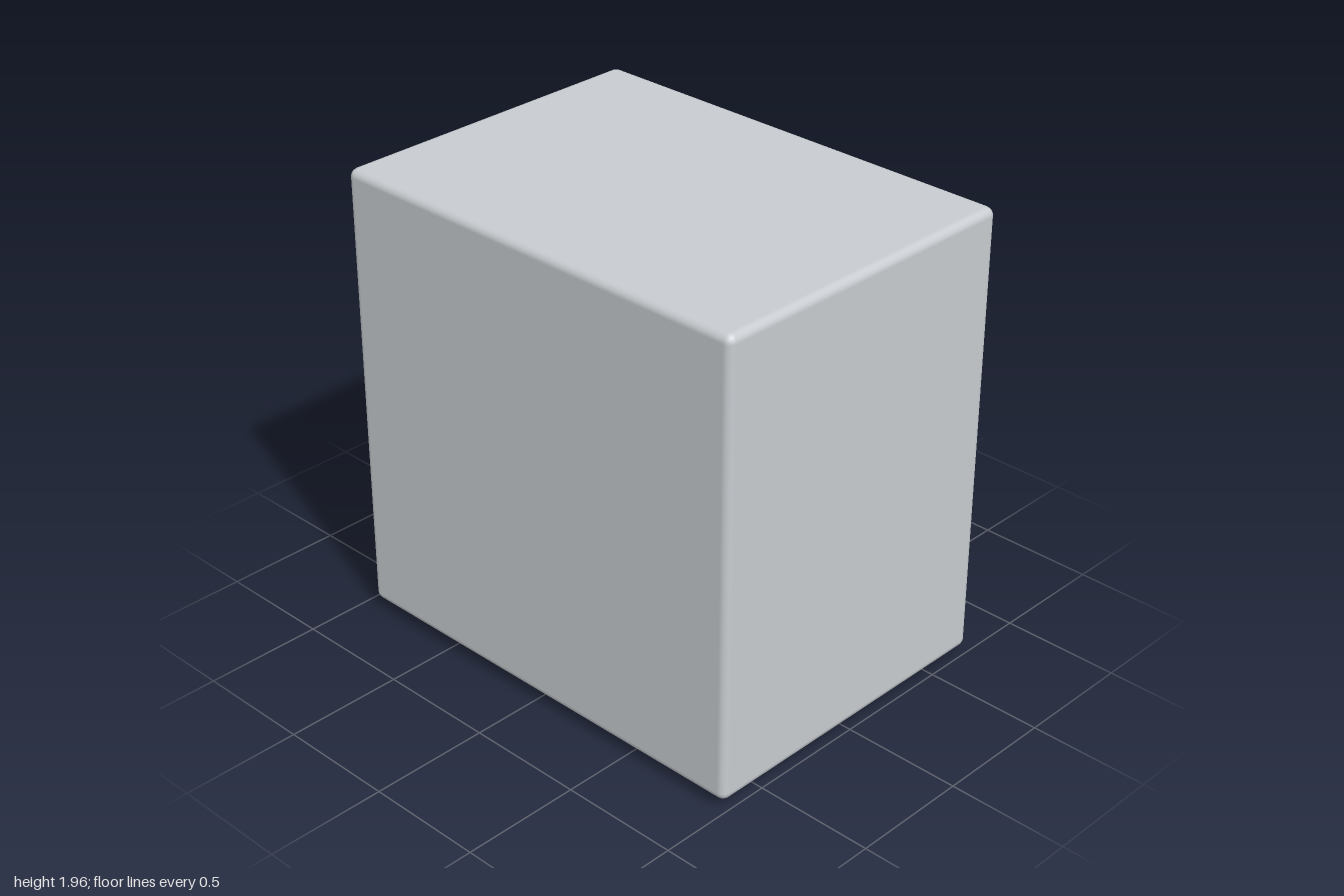
import * as THREE from 'three';
import { RoundedBoxGeometry } from 'three/addons/geometries/RoundedBoxGeometry.js';

const material = (color) => new THREE.MeshStandardMaterial({ color });
const mats = {
  shell: material(0xc8ccd0),
  panel: material(0x1b3a54),
  dark: material(0x14171c),
  screen: material(0x10282c),
  label: material(0x777777),
  led: material(0x23303a),
  rubber: material(0x2a2f36),
};

export function createModel() {
  const group = new THREE.Group();

  const add = (name, geometry, mat, x, y, z) => {
    const mesh = new THREE.Mesh(geometry, mat);
    mesh.name = name;
    mesh.position.set(x, y, z);
    group.add(mesh);
    return mesh;
  };
  // Plate lying flat, given its lower and upper heights
  const plate = (name, mat, w, d, y0, y1, x, z) =>
    add(name, new THREE.BoxGeometry(w, y1 - y0, d), mat, x, (y0 + y1) / 2, z);

  // Enclosure with softened edges
  add('enclosure', new RoundedBoxGeometry(1.42, 1.92, 1.95, 2, 0.035), mats.shell, 0, 1.0, 0.025);

  // Control panel on the underside
  plate('controlPanel', mats.panel, 1.31, 1.86, 0.025, 0.05, 0, 0.02);

  // Display: a raised frame around a recessed screen
  const outer = new THREE.Shape();
  outer.moveTo(-0.465, -0.14).lineTo(0.465, -0.14).lineTo(0.465, 0.14).lineTo(-0.465, 0.14).closePath();
  const opening = new THREE.Path();
  opening.moveTo(-0.41, -0.09).lineTo(-0.41, 0.09).lineTo(0.41, 0.09).lineTo(0.41, -0.09).closePath();
  outer.holes.push(opening);
  const frame = new THREE.ExtrudeGeometry(outer, { depth: 0.03, bevelEnabled: false });
  frame.rotateX(Math.PI / 2);
  add('displayFrame', frame, mats.dark, 0, 0.03, 0.665);
  plate('displayScreen', mats.screen, 0.82, 0.18, 0.005, 0.03, 0, 0.665);

  // Six drive bays, each with a label plate and a status light
  for (let i = 0; i < 6; i++) {
    const z = 0.22 - i * 0.176;
    plate('driveBay', mats.dark, 1.13, 0.14, 0.016, 0.03, 0, z);
    plate('bayLabel', mats.label, 0.24, 0.08, 0.011, 0.02, 0.14, z);
    add('statusLight', new THREE.CylinderGeometry(0.01, 0.01, 0.01, 10), mats.led, -0.42, 0.016, z);
  }

  // Four round feet on the back
  const foot = new THREE.CylinderGeometry(0.048, 0.048, 0.06, 20);
  foot.rotateX(Math.PI / 2);
  for (const x of [-0.51, 0.51])
    for (const y of [0.3, 1.675]) add('foot', foot, mats.rubber, x, y, -0.97);

  return group;
}
